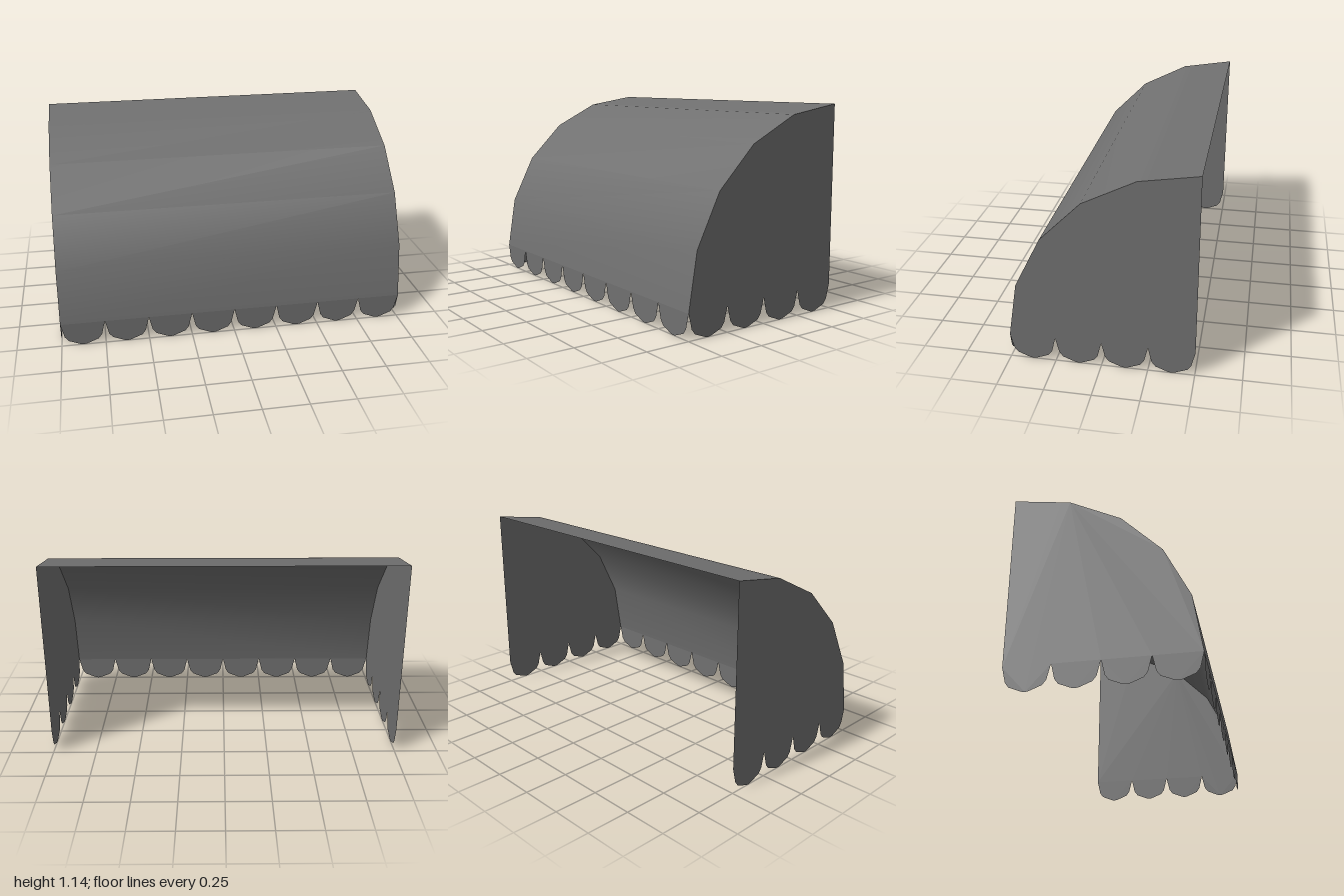
import * as THREE from 'three';

const HEM = 0.14; // height where the scallops begin
const PITCH = 0.25; // width of one scallop

// Canopy curve from the back top to the front hem, as [z, y];
// the second point keeps the top strip flat up to its fold
const PROFILE = [[-0.5, 1.14], [-0.24, 1.098], [-0.19, 1.09], [0.09, 0.95], [0.31, 0.73], [0.45, 0.45], [0.5, HEM]];

// One scallop, as [offset, y]
const HALF = [[0.02, 0.057], [0.04, 0.03], [0.107, 0.003], [0.125, 0]];
const SCALLOP = [
  [0, HEM],
  ...HALF,
  ...HALF.slice(0, 3).reverse().map(([u, y]) => [PITCH - u, y]),
];

// Scalloped lower edge running from -width/2 to +width/2
function scallopedEdge(width) {
  const points = [];
  for (let i = 0; i < Math.round(width / PITCH); i++) {
    for (const [u, y] of SCALLOP) points.push(new THREE.Vector2(-width / 2 + i * PITCH + u, y));
  }
  points.push(new THREE.Vector2(width / 2, HEM));
  return points;
}

export function createModel() {
  const awning = new THREE.Group();
  awning.name = 'awning';
  const material = new THREE.MeshStandardMaterial({ color: 0x707070, side: THREE.DoubleSide });

  const add = (name, geometry) => {
    const mesh = new THREE.Mesh(geometry, material);
    mesh.name = name;
    awning.add(mesh);
    return mesh;
  };

  // Curved canopy: a sheet whose rows follow the profile
  const sheet = new THREE.PlaneGeometry(2, 1, 1, PROFILE.length - 1);
  const pos = sheet.attributes.position;
  for (let i = 0; i < pos.count; i++) {
    const [z, y] = PROFILE[Math.floor(i / 2)];
    pos.setXYZ(i, pos.getX(i), y, z);
  }
  sheet.computeVertexNormals();
  add('canopy', sheet);

  // Front valance: one hanging flap per scallop
  const valance = add('frontValance', new THREE.ShapeGeometry(new THREE.Shape(scallopedEdge(2))));
  valance.position.z = 0.5;

  // Side panels: scalloped below, canopy curve above, facing outwards
  for (const side of [1, -1]) {
    const curve = PROFILE.slice(0, -1).map(([z, y]) => new THREE.Vector2(-side * z, y));
    if (side < 0) curve.reverse();
    const panel = add(side > 0 ? 'leftPanel' : 'rightPanel',
      new THREE.ShapeGeometry(new THREE.Shape([...scallopedEdge(1), ...curve])));
    panel.rotation.y = side * Math.PI / 2;
    panel.position.x = side;
  }

  return awning;
}
